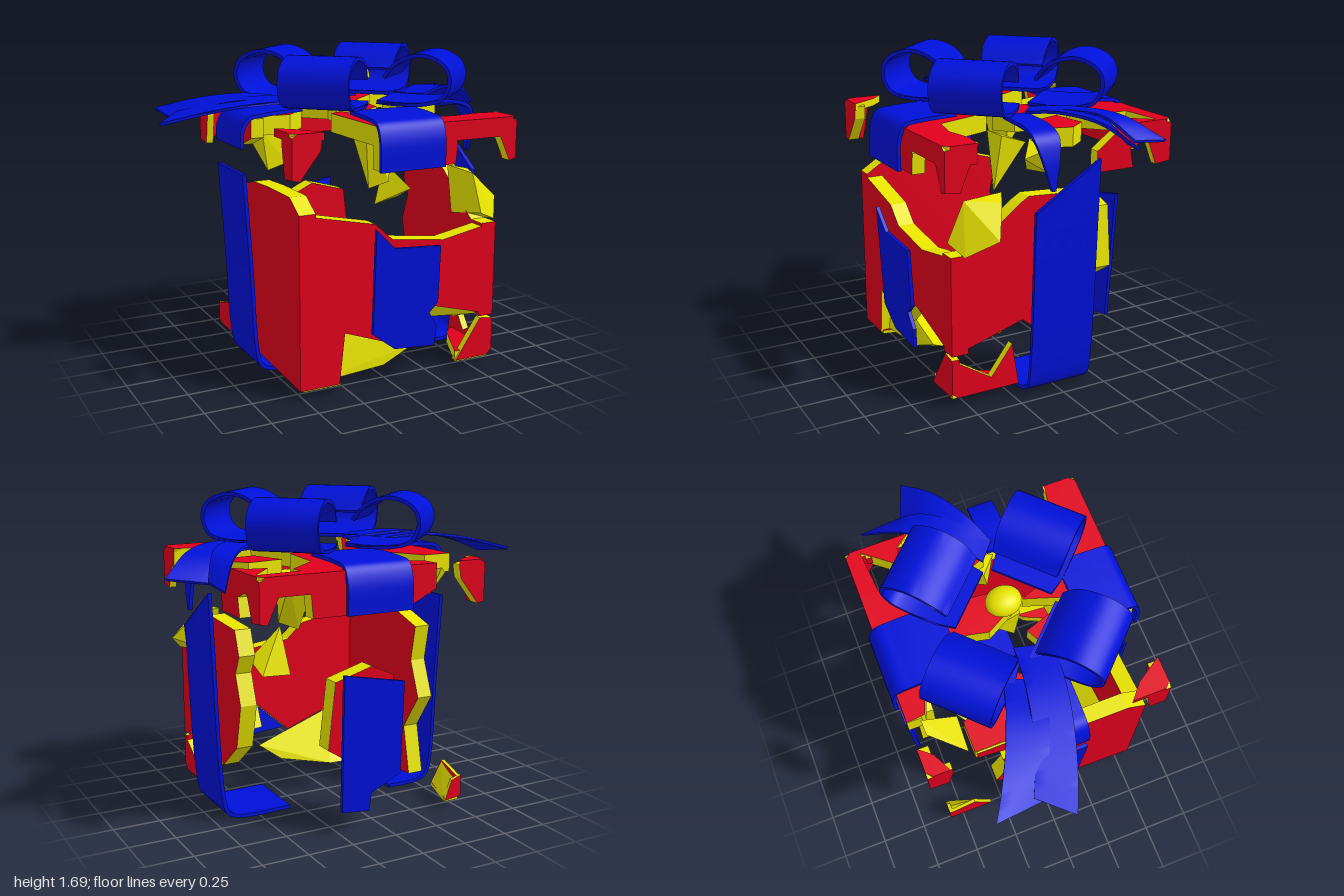
import * as THREE from 'three';
import { toCreasedNormals } from 'three/addons/utils/BufferGeometryUtils.js';
import { ConvexGeometry } from 'three/addons/geometries/ConvexGeometry.js';

const mat = (color) => new THREE.MeshStandardMaterial({ color, side: THREE.DoubleSide });
const RED = mat(0xe0001c), YELLOW = mat(0xe8e400), BLUE = mat(0x0010d8);

// Outer faces of body and lid: edges lying on these keep the face colour
const SKINS = { x: [-0.52, 0.63, -0.58, 0.7], y: [0.04, 1.37], z: [-0.58, 0.58, -0.65, 0.64] };

export function createModel() {
  const model = new THREE.Group();
  const add = (name, geo, material) => {
    const mesh = new THREE.Mesh(geo, material);
    mesh.name = name;
    model.add(mesh);
    return mesh;
  };

  // Broken flat piece with coloured faces and cut edges.
  // Outline is (x,y) for axis z, (z,y) for axis x, (x,z) for axis y.
  const plate = (name, axis, lo, t, outline, face = RED, edge = YELLOW) => {
    const pts = outline.map(([a, b]) => new THREE.Vector2(axis === 'x' ? -a : a, axis === 'y' ? -b : b));
    const geo = new THREE.ExtrudeGeometry(new THREE.Shape(pts), { depth: t, bevelEnabled: false });
    geo.translate(0, 0, lo);
    if (axis === 'x') geo.rotateY(Math.PI / 2);
    if (axis === 'y') geo.rotateX(-Math.PI / 2);
    const p = geo.attributes.position, { start, count } = geo.groups[1];
    const onSkin = (i) => ['X', 'Y', 'Z'].some((c) => SKINS[c.toLowerCase()].some((s) =>
      [0, 1, 2].every((k) => Math.abs(p['get' + c](i + k) - s) < 1e-4)));
    geo.groups.pop();
    for (let i = start; i < start + count; i += 3) geo.addGroup(i, 3, onSkin(i) ? 0 : 1);
    return add(name, geo, [face, edge]);
  };

  // Loose convex splinter
  const chunk = (name, pts) => add(name, new ConvexGeometry(pts.map((p) => new THREE.Vector3(...p))), YELLOW);

  // Bent band: a profile of (u,y) points thickened and extruded across its width
  const band = (profile, width, t = 0.02, n = 28) => {
    const curve = new THREE.CatmullRomCurve3(profile.map(([u, y]) => new THREE.Vector3(u, y, 0)), false, 'centripetal');
    const outer = [], inner = [];
    for (let i = 0; i <= n; i++) {
      const p = curve.getPoint(i / n), d = curve.getTangent(i / n);
      outer.push(new THREE.Vector2(p.x - d.y * t / 2, p.y + d.x * t / 2));
      inner.unshift(new THREE.Vector2(p.x + d.y * t / 2, p.y - d.x * t / 2));
    }
    const geo = new THREE.ExtrudeGeometry(new THREE.Shape([...outer, ...inner]), { depth: width, bevelEnabled: false, steps: 4 });
    return geo.translate(0, 0, -width / 2);
  };
  const bend = (geo, rule) => {
    const p = geo.attributes.position, v = new THREE.Vector3();
    for (let i = 0; i < p.count; i++) {
      rule(v.fromBufferAttribute(p, i));
      p.setXYZ(i, v.x, v.y, v.z);
    }
    return geo;
  };
  const smooth = (geo) => toCreasedNormals(geo, 0.7);

  // Body walls
  const T = 0.09;
  plate('frontWall', 'z', 0.58 - T, T, [[-0.52, 0.05], [-0.3, 0.05], [-0.27, 0.32], [0, 0.22], [0.2, 0.4], [0.63, 0.28],
    [0.63, 0.8], [0.3, 0.74], [0, 0.78], [-0.1, 0.87], [-0.52, 0.96]]);
  plate('rightSideWall', 'x', 0.63 - T, T, [[0.58, 0.28], [0.18, 0.4], [0, 0.25], [-0.19, 0.4], [-0.25, 0.64], [-0.19, 0.8],
    [-0.24, 0.9], [-0.19, 1.03], [0.15, 1.05], [0.2, 1.02], [0.48, 0.8], [0.58, 0.8]]);
  plate('leftSideWall', 'x', -0.52, T, [[0.58, 0.05], [-0.2, 0.08], [-0.14, 0.35], [-0.28, 0.55], [-0.2, 0.75],
    [-0.24, 0.95], [0, 1.02], [0.2, 1.03], [0.47, 1.03], [0.58, 0.96]]);
  plate('backWallPiece', 'z', -0.58, 0.1, [[-0.08, 0.34], [0.1, 0.32], [0.3, 0.45], [0.26, 0.8], [0.05, 0.86], [-0.08, 0.8]]);

  // Bottom pieces
  plate('floorPiece', 'y', 0.04, 0.02, [[-0.5, 0.57], [-0.29, 0.57], [-0.25, 0.4], [-0.35, 0.25], [-0.5, 0.2]]);
  chunk('floorCut', [[-0.5, 0.06, 0.55], [-0.27, 0.31, 0.5], [-0.13, 0.24, 0.5], [0.2, 0.15, 0.48], [0.1, 0.08, 0.38],
    [-0.15, 0.06, 0.22], [-0.5, 0.06, 0.2], [0, 0.07, 0.5]]);
  chunk('frontWallCut', [[0.2, 0.4, 0.49], [0.2, 0.28, 0.43], [0.58, 0.28, 0.54], [0.48, 0.25, 0.42], [0.5, 0.32, 0.49]]);
  chunk('rightWallCut', [[0.58, 0.29, 0.54], [0.54, 0.39, 0.2], [0.48, 0.28, 0.22], [0.48, 0.24, 0.42], [0.54, 0.33, 0.45]]);
  plate('frontCornerFront', 'z', 0.54, 0.04, [[0.4, 0.05], [0.6, 0.05], [0.63, 0.08], [0.63, 0.26], [0.55, 0.27]]);
  plate('frontCornerSide', 'x', 0.59, 0.04, [[0.58, 0.08], [0.55, 0.05], [0.2, 0.05], [0.24, 0.28], [0.36, 0.12], [0.58, 0.26]]);
  plate('frontCornerFloor', 'y', 0.04, 0.06, [[0.4, 0.57], [0.61, 0.57], [0.61, 0.22], [0.52, 0.3]]);
  plate('backCornerSide', 'x', -0.52, 0.02, [[-0.58, 0.07], [-0.56, 0.05], [-0.32, 0.05], [-0.42, 0.22], [-0.58, 0.17]]);
  plate('backCornerBack', 'z', -0.58, 0.02, [[-0.52, 0.06], [-0.42, 0.05], [-0.46, 0.16], [-0.52, 0.18]]);
  plate('backCornerFloor', 'y', 0.04, 0.02, [[-0.51, -0.57], [-0.42, -0.57], [-0.5, -0.32]]);
  chunk('backCornerCut', [[-0.5, 0.06, -0.56], [-0.42, 0.06, -0.56], [-0.5, 0.06, -0.33], [-0.5, 0.21, -0.42], [-0.48, 0.17, -0.56]]);

  // Loose splinters inside and below the lid
  chunk('sideSplinter', [[0.53, 0.8, 0.3], [0.53, 1.06, 0.25], [0.55, 1.05, 0.47], [0.63, 1.04, 0.3], [0.76, 0.89, 0.38], [0.66, 0.8, 0.52], [0.55, 0.85, 0.56]]);
  chunk('innerSplinter', [[0.32, 0.76, -0.2], [0.36, 1.02, -0.16], [0.5, 0.78, -0.24], [0.52, 0.85, -0.12]]);
  chunk('lidSplinter1', [[-0.42, 1.2, -0.3], [-0.3, 1.27, -0.4], [-0.21, 1.26, -0.2], [-0.23, 1.06, -0.2], [-0.36, 1.03, -0.18], [-0.4, 1.24, -0.15]]);
  chunk('lidSplinter2', [[0.1, 1.27, 0.1], [0.26, 1.27, 0.1], [0.23, 0.97, 0.13], [0.13, 0.93, 0.08], [0.1, 1.2, -0.05], [0.25, 1.22, -0.05]]);
  chunk('lidSplinter3', [[0.37, 1.27, 0], [0.54, 1.27, -0.1], [0.44, 1.09, -0.08], [0.38, 1.11, 0.02], [0.5, 1.2, 0.1]]);
  chunk('lidSplinter4', [[-0.5, 1.27, -0.41], [-0.36, 1.33, -0.58], [-0.28, 1.33, -0.58], [-0.3, 1.25, -0.4], [-0.34, 1.18, -0.5]]);

  // Lid top pieces
  const top = (name, outline, t = 0.1) => plate(name, 'y', 1.37 - t, t, outline);
  top('lidTopFront', [[-0.11, 0.64], [0.67, 0.64], [0.7, 0.61], [0.7, 0.47], [0.57, 0.45], [0.42, 0.48], [0.25, 0.44],
    [0.13, 0.12], [0.05, 0.36], [-0.04, 0.08], [-0.12, 0.12]]);
  top('lidTopBack', [[-0.28, -0.65], [0.44, -0.65], [0.44, -0.48], [0.25, -0.3], [0.22, 0], [0.12, 0.08], [0.02, -0.1],
    [0.06, -0.28], [-0.13, -0.5], [-0.27, -0.55]]);
  top('lidTopBackRight', [[0.44, -0.65], [0.67, -0.65], [0.7, -0.62], [0.7, -0.3], [0.64, -0.38], [0.54, -0.4],
    [0.68, -0.57], [0.44, -0.55]]);
  top('lidTopRight', [[0.35, -0.17], [0.55, -0.2], [0.63, -0.1], [0.6, 0], [0.42, 0.02]]);
  top('lidTopLeft', [[-0.54, -0.39], [-0.38, -0.39], [-0.2, -0.08], [-0.33, 0.06], [-0.5, 0.05], [-0.54, -0.1]]);
  top('lidCornerFrontLeft', [[-0.58, 0.43], [-0.58, 0.61], [-0.55, 0.64], [-0.41, 0.64], [-0.5, 0.5]], 0.04);
  top('lidCornerBackLeft', [[-0.58, -0.53], [-0.58, -0.62], [-0.55, -0.65], [-0.42, -0.65], [-0.48, -0.58]], 0.04);

  // Lid rim pieces
  plate('lidRimFront', 'z', 0.57, 0.07, [[-0.11, 1.15], [0.33, 1.15], [0.34, 1.26], [0.28, 1.365], [-0.11, 1.365]]);
  plate('lidRimBack', 'z', -0.65, 0.08, [[-0.28, 1.24], [-0.1, 1.15], [0.42, 1.15], [0.44, 1.365], [-0.28, 1.365]]);
  for (const s of [1, -1]) {
    const z = s > 0 ? 0.58 : -0.65, end = s > 0 ? 0.64 : -0.65, mid = s * 0.52;
    plate('lidRimCornerLeft', 'z', z, 0.06, [[-0.58, 1.15], [-0.54, 1.14], [-0.43, 1.28], [-0.42, 1.35], [-0.55, 1.37], [-0.58, 1.35]]);
    plate('lidRimCornerRight', 'z', z, 0.06, [[0.7, 1.15], [0.66, 1.14], [0.6, 1.27], [0.48, 1.28], [0.46, 1.37], [0.67, 1.37], [0.7, 1.34]]);
    plate('lidRimSideLeft', 'x', -0.58, 0.04, [[end, 1.15], [s * 0.55, 1.14], [mid, 1.3], [mid, 1.37], [end, 1.35]]);
    plate('lidRimSideRight', 'x', 0.66, 0.04, [[end, 1.15], [s * 0.56, 1.14], [mid, 1.24], [s * 0.46, 1.37], [end, 1.35]]);
  }
  plate('lidRimRight', 'x', 0.64, 0.06, [[-0.2, 1.14], [-0.42, 1.14], [-0.4, 1.24], [-0.55, 1.3], [-0.55, 1.36], [-0.35, 1.36], [-0.2, 1.25]]);
  plate('lidRimLeft', 'x', -0.55, 0.07, [[-0.38, 1.28], [-0.1, 1.2], [0.06, 1.26], [0.06, 1.36], [-0.38, 1.36]]);

  // Side ribbons folding under the box
  add('sideRibbonLeft', smooth(band([[-0.64, 1.1], [-0.61, 0.6], [-0.585, 0.14], [-0.56, 0.055], [-0.5, 0.025], [-0.31, 0.02]], 0.36)), BLUE);
  const slanted = bend(band([[0.755, 1.23], [0.745, 0.95], [0.705, 0.14], [0.68, 0.05], [0.62, 0.02], [0.32, 0.015]], 0.36),
    (v) => { v.y = Math.min(v.y, 1 + (0.18 - v.z) * 0.64); });
  add('sideRibbonRight', smooth(slanted), BLUE);

  // Front and back ribbon pieces, leaning outwards at the top
  const lean = (mesh, s) => bend(mesh.geometry, (v) => { v.z += s * 0.055 * v.y; }).computeVertexNormals();
  const ribbonOutline = [[-0.13, 0.86], [-0.02, 0.75], [0.25, 0.73], [0.25, 0.42], [0.2, 0.37], [0.25, 0.29], [0.24, 0.18], [0, 0.2], [-0.13, 0.3]];
  lean(plate('frontRibbon', 'z', 0.585, 0.02, ribbonOutline, BLUE, BLUE), 1);
  lean(plate('backRibbon', 'z', -0.61, 0.02, [[-0.1, 0.28], [0.07, 0.2], [0.08, 0.1], [0.24, 0.12], [0.25, 0.85], [-0.1, 0.78]], BLUE, BLUE), -1);

  // Ribbons over the lid
  for (const s of [1, -1]) {
    const geo = band([[0.67, 1.15], [0.665, 1.31], [0.63, 1.38], [0.55, 1.395], [s > 0 ? 0.35 : 0.29, 1.405]], 0.37);
    geo.rotateY(-s * Math.PI / 2).translate(0.06, 0, 0);
    add(s > 0 ? 'lidRibbonFront' : 'lidRibbonBack', smooth(geo), BLUE);
  }
  add('lidRibbonLeft', smooth(band([[-0.645, 1.23], [-0.64, 1.32], [-0.6, 1.38], [-0.52, 1.395], [-0.31, 1.41]], 0.35)), BLUE);
  const torn = bend(band([[0.76, 1.1], [0.75, 1.26], [0.72, 1.35], [0.66, 1.385], [0.42, 1.41]], 0.14),
    (v) => { if (v.y < 1.35) v.z = v.z * (0.15 + 3.4 * (v.y - 1.1)) - (1.35 - v.y) * 0.08; });
  add('lidRibbonRight', smooth(torn.translate(0, 0, 0.11)), BLUE);

  // Four bow loops around the knot
  const loop = [[0.2, 1.435], [0.33, 1.43], [0.46, 1.435], [0.55, 1.465], [0.59, 1.55], [0.565, 1.63], [0.47, 1.68], [0.38, 1.675], [0.3, 1.635], [0.24, 1.565]];
  for (let i = 0; i < 4; i++) {
    const geo = bend(band(loop, 0.37, 0.02, 36), (v) => { v.z *= Math.min(1, 0.7 + v.x); });
    add('bowLoop', smooth(geo.rotateY(Math.PI / 4 + i * Math.PI / 2).translate(0.052, 0, 0)), BLUE);
  }

  // Ribbon tails: base and tip in plan, width, tip height, sideways sweep, slant of the cut end
  const tails = [
    [[-0.3, -0.04], [-0.895, -0.3], 0.21, 1.36, 0.03, 0.06],
    [[-0.15, 0.07], [-0.93, -0.125], 0.2, 1.365, 0.04, -0.05],
    [[0.42, 0], [0.895, -0.275], 0.18, 1.31, -0.03, 0.07],
    [[0.42, 0.04], [0.82, -0.43], 0.13, 1.3, -0.03, -0.07],
  ];
  for (const [base, tip, w, tipY, sweep, cut] of tails) {
    const dx = tip[0] - base[0], dz = tip[1] - base[1], len = Math.hypot(dx, dz);
    const geo = bend(band([[0, 1.43], [len * 0.35, 1.45], [len * 0.7, 1.42], [len, tipY]], w, 0.015), (v) => {
      const k = v.x / len;
      v.x += k * k * cut * v.z / (w / 2);
      v.y += v.z * 0.15 * k;
      v.z += sweep * 4 * k * (k - 1);
    });
    geo.rotateY(Math.atan2(-dz, dx)).translate(base[0], 0, base[1]);
    add('ribbonTail', smooth(geo), BLUE);
  }

  // Knot in the middle of the bow
  const knot = add('knot', new THREE.SphereGeometry(0.085, 24, 12, 0, Math.PI * 2, 0, Math.PI * 0.55), YELLOW);
  knot.position.set(0.08, 1.55, 0);
  knot.scale.set(0.95, 0.82, 1.1);

  return model;
}
